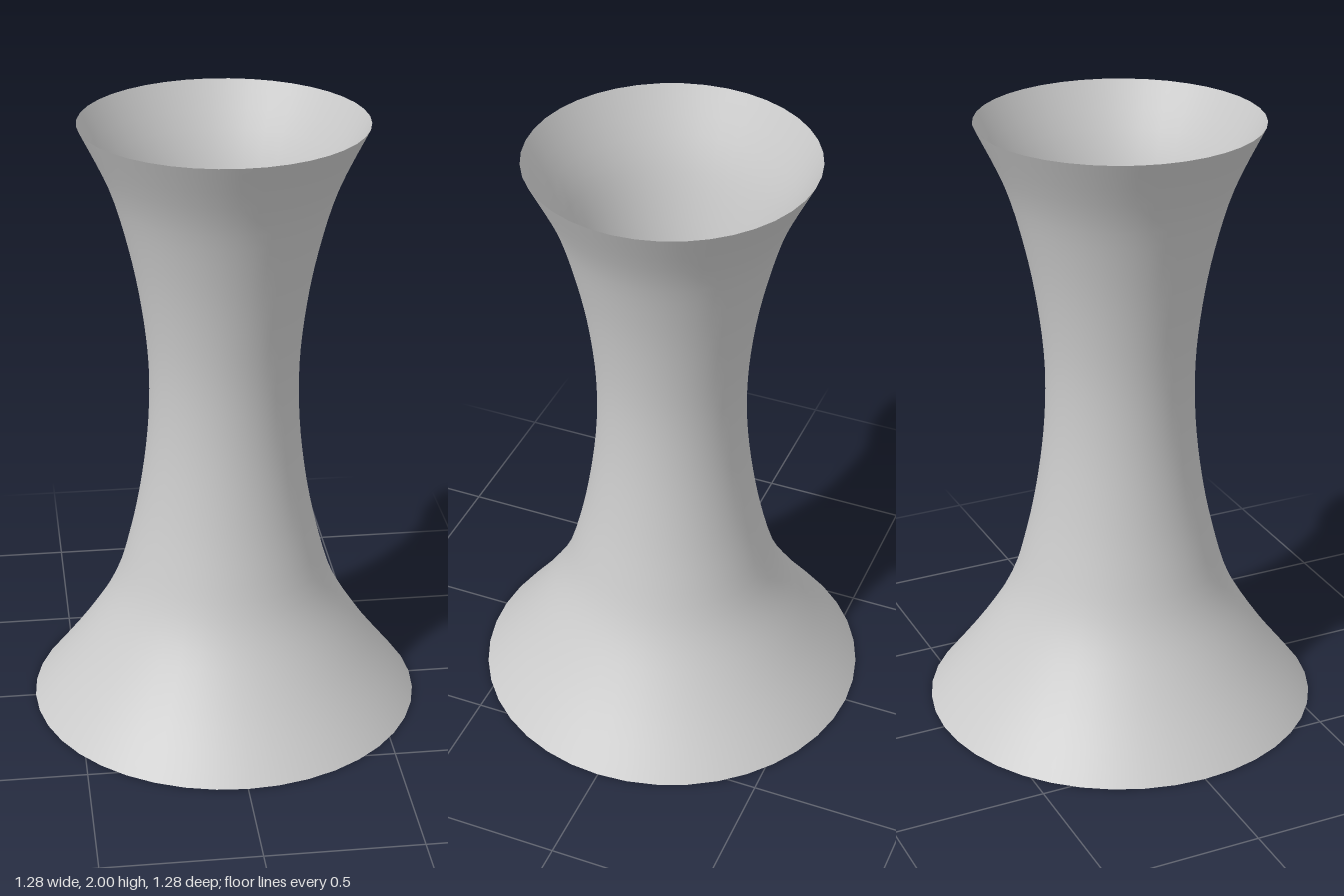
import * as THREE from 'three';

// Flared open tube: radius and height pairs from base to rim
const PROFILE = [
  [0.642, 0], [0.49, 0.2], [0.37, 0.4], [0.308, 0.6], [0.268, 0.8], [0.245, 1],
  [0.242, 1.2], [0.262, 1.4], [0.3, 1.6], [0.358, 1.8], [0.452, 2],
];

export function createModel() {
  const group = new THREE.Group();
  group.name = 'flaredStand';

  // Smooth curve through the profile, turned around the y axis
  const curve = new THREE.SplineCurve(PROFILE.map(([r, y]) => new THREE.Vector2(r, y)));
  const body = new THREE.Mesh(
    new THREE.LatheGeometry(curve.getPoints(40), 40),
    new THREE.MeshStandardMaterial({ color: 0xcccccc, side: THREE.DoubleSide }),
  );
  body.name = 'flaredBody';
  group.add(body);
  return group;
}
